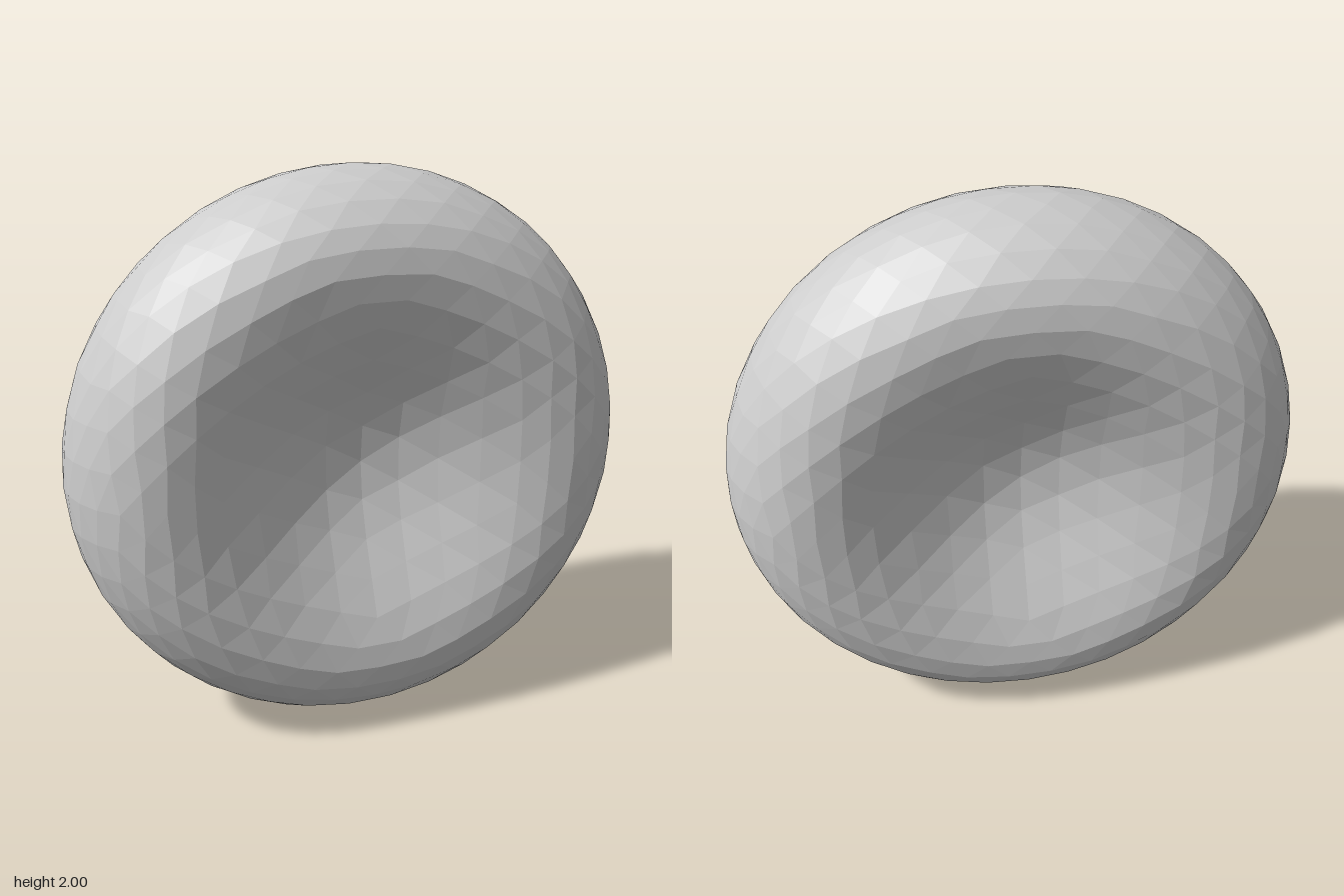
import * as THREE from 'three';

// Split every triangle into four, pushing new corners out to the unit sphere
function subdivide(triangles) {
  const mid = (a, b) => a.clone().add(b).normalize();
  return triangles.flatMap(([a, b, c]) => {
    const ab = mid(a, b), bc = mid(b, c), ca = mid(c, a);
    return [[a, ab, ca], [ab, b, bc], [ca, bc, c], [ab, bc, ca]];
  });
}

// Icosphere whose long edges each carry eight segments
function icosphere(levels) {
  const p = new THREE.IcosahedronGeometry(1, 0).attributes.position;
  const corner = (i) => new THREE.Vector3().fromBufferAttribute(p, i).normalize();
  let triangles = [];
  for (let i = 0; i < p.count; i += 3) triangles.push([corner(i), corner(i + 1), corner(i + 2)]);
  for (let i = 0; i < levels; i++) triangles = subdivide(triangles);
  return new THREE.BufferGeometry().setFromPoints(triangles.flat());
}

export function createModel() {
  const group = new THREE.Group();
  group.name = 'biconcaveCell';

  // Flatten the sphere along z into a disc with a dimple on both faces
  const geometry = icosphere(3);
  const pos = geometry.attributes.position;
  for (let i = 0; i < pos.count; i++) {
    const r2 = pos.getX(i) ** 2 + pos.getY(i) ** 2;
    const thickness = 0.5 * (0.207 + 2.003 * r2 - 1.123 * r2 * r2);
    pos.setZ(i, pos.getZ(i) * thickness);
  }
  geometry.computeVertexNormals();

  const disc = new THREE.Mesh(
    geometry,
    new THREE.MeshStandardMaterial({ color: 0xcccccc, flatShading: true })
  );
  disc.name = 'dimpledDisc';
  disc.position.y = 1;
  group.add(disc);
  return group;
}
